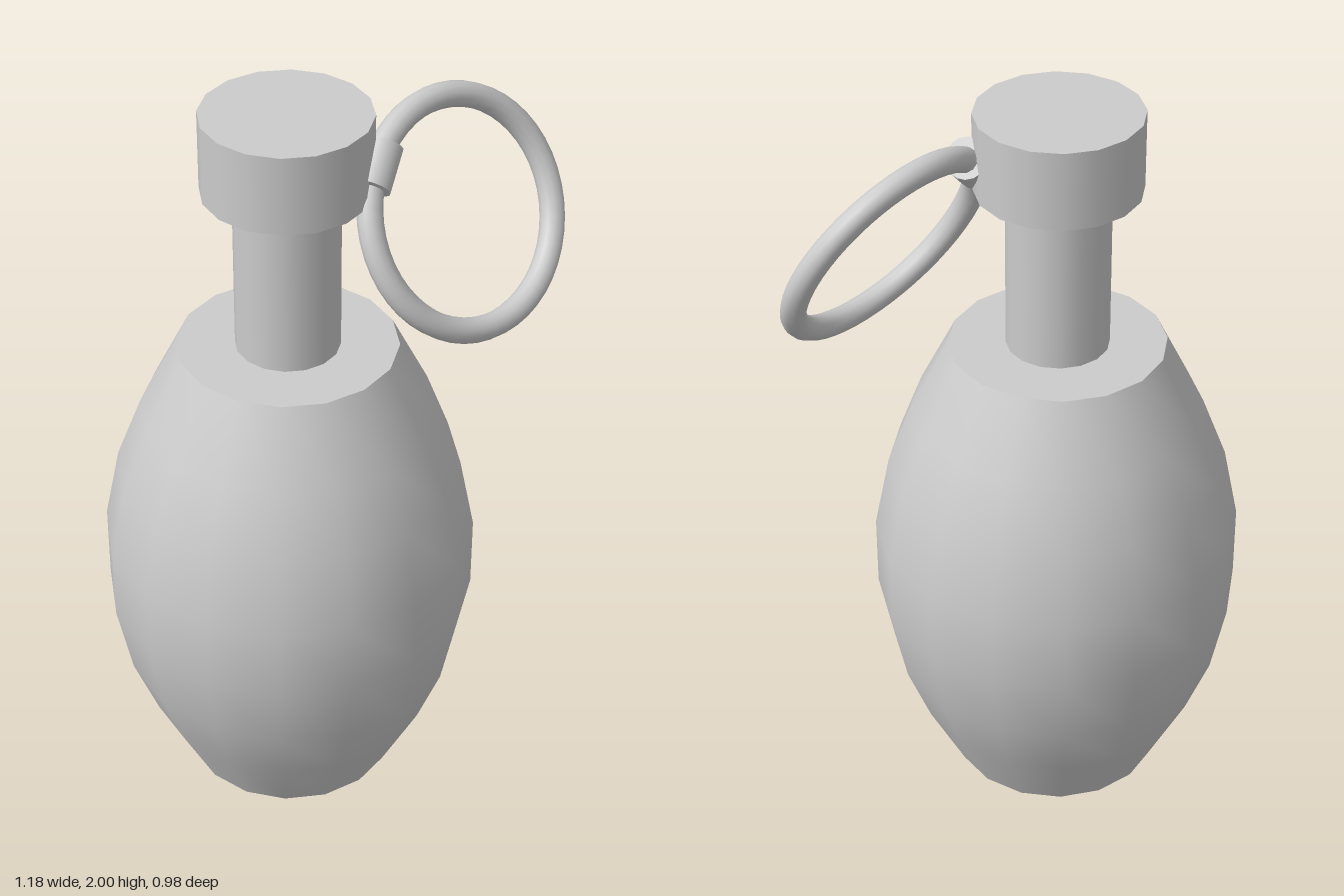
import * as THREE from 'three';

const SIDES = 16;
const AXIS_X = -0.1; // the body stands left of centre, the ring balances it

export function createModel() {
  const model = new THREE.Group();
  const material = new THREE.MeshStandardMaterial({ color: 0xcccccc });

  const add = (name, geometry, parent = model) => {
    const mesh = new THREE.Mesh(geometry, material);
    mesh.name = name;
    parent.add(mesh);
    return mesh;
  };

  // Barrel-shaped body: smooth wall with flat end discs
  const profile = [
    [0.285, 0], [0.385, 0.2], [0.45, 0.37], [0.49, 0.57],
    [0.49, 0.77], [0.45, 0.97], [0.385, 1.14], [0.285, 1.34],
  ].map(([r, y]) => new THREE.Vector2(r, y));
  const body = new THREE.Group();
  body.name = 'body';
  body.position.x = AXIS_X;
  model.add(body);
  add('bodyWall', new THREE.LatheGeometry(profile, SIDES), body);
  add('bodyBottom', new THREE.CircleGeometry(0.285, SIDES).rotateX(Math.PI / 2), body);
  add('bodyTop', new THREE.CircleGeometry(0.285, SIDES).rotateX(-Math.PI / 2), body).position.y = 1.34;

  // Neck and cap
  add('neck', new THREE.CylinderGeometry(0.135, 0.135, 0.45, SIDES)).position.set(AXIS_X, 1.565, 0);
  add('cap', new THREE.CylinderGeometry(0.215, 0.215, 0.21, SIDES)).position.set(AXIS_X, 1.895, 0);

  // Tilted pull ring, held by a collar that sits against the cap
  const ringRadius = 0.293;
  const pull = new THREE.Group();
  pull.name = 'pullRing';
  pull.position.set(0.265, 1.685, 0.247);
  pull.rotation.x = -0.485;
  model.add(pull);
  add('ring', new THREE.TorusGeometry(ringRadius, 0.033, 12, 48), pull);
  const angle = THREE.MathUtils.degToRad(137);
  const collar = add('collar', new THREE.CylinderGeometry(0.054, 0.054, 0.115, SIDES), pull);
  collar.position.set(ringRadius * Math.cos(angle), ringRadius * Math.sin(angle), 0);
  collar.rotation.z = angle; // axis follows the ring

  return model;
}
